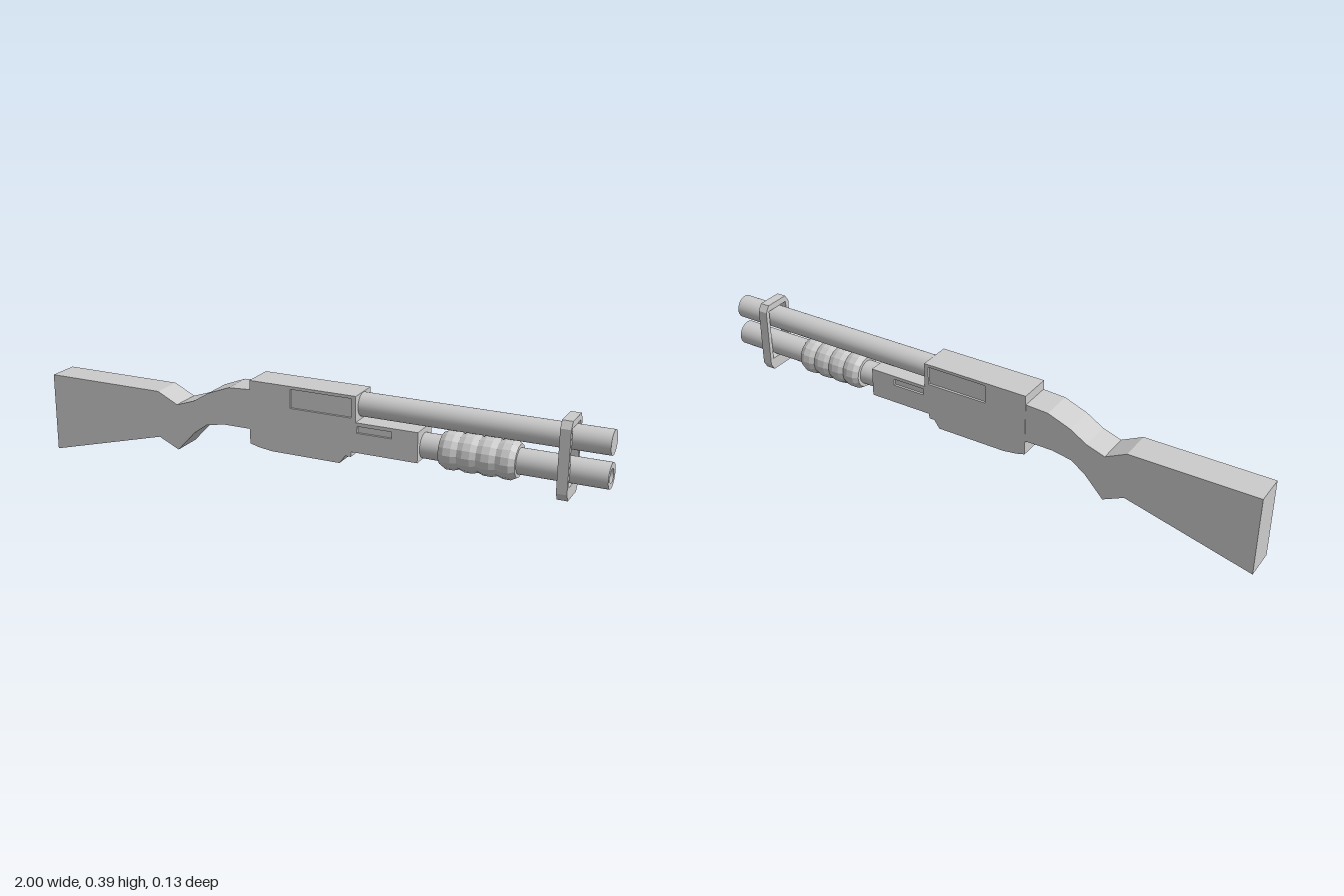
import * as THREE from 'three';

const grey = new THREE.MeshStandardMaterial({ color: 0xcccccc });
const greyFlat = new THREE.MeshStandardMaterial({ color: 0xcccccc, flatShading: true });
const greyDouble = new THREE.MeshStandardMaterial({ color: 0xcccccc, side: THREE.DoubleSide });

const TUBE_Y = 0.222, BARREL_Y = 0.328;
const toShape = (pts) => new THREE.Shape(pts.map(([x, y]) => new THREE.Vector2(x, y)));
const rect = (x0, y0, x1, y1) => new THREE.Path([[x0, y0], [x0, y1], [x1, y1], [x1, y0]].map(([x, y]) => new THREE.Vector2(x, y)));

export function createModel() {
  const model = new THREE.Group();

  function add(name, geometry, material = grey, parent = model) {
    const mesh = new THREE.Mesh(geometry, material);
    mesh.name = name;
    parent.add(mesh);
    return mesh;
  }
  // Extrude a side profile from z0 to z1
  const slab = (shape, z0, z1) =>
    new THREE.ExtrudeGeometry(shape, { depth: z1 - z0, bevelEnabled: false }).translate(0, 0, z0);
  // Cylinder lying along x
  const rod = (r, x0, x1, y, open = false) =>
    new THREE.CylinderGeometry(r, r, x1 - x0, 32, 1, open).rotateZ(-Math.PI / 2).translate((x0 + x1) / 2, y, 0);

  // Shoulder stock with curved grip
  add('stock', slab(toShape([
    [-1, 0], [-0.56, 0.115], [-0.485, 0.08], [-0.42, 0.15], [-0.37, 0.187], [-0.3, 0.2], [-0.19, 0.2],
    [-0.19, 0.338], [-0.28, 0.333], [-0.36, 0.302], [-0.42, 0.265], [-0.485, 0.243], [-0.56, 0.28], [-1, 0.28],
  ]), -0.056, 0.056), greyFlat);

  // Receiver: a core plus two side plates whose openings form the recesses
  const receiver = new THREE.Group();
  receiver.name = 'receiver';
  model.add(receiver);
  const outline = [
    [-0.2, 0.15], [-0.17, 0.142], [-0.12, 0.135], [0.13, 0.135], [0.15, 0.163], [0.17, 0.163], [0.17, 0.18],
    [0.4, 0.18], [0.4, 0.282], [0.185, 0.282], [0.185, 0.37], [-0.2, 0.37],
  ];
  add('receiverCore', slab(toShape(outline), -0.05, 0.05), greyFlat, receiver);
  const plate = toShape(outline);
  plate.holes.push(rect(-0.05, 0.295, 0.17, 0.36), rect(0.19, 0.247, 0.31, 0.27));
  add('leftSidePlate', slab(plate, 0.05, 0.058), greyFlat, receiver);
  add('rightSidePlate', slab(plate, -0.058, -0.05), greyFlat, receiver);

  // Barrel
  add('barrel', rod(0.04, 0.17, 1, BARREL_Y));

  // Magazine tube with recessed end
  const tube = new THREE.Group();
  tube.name = 'magazineTube';
  model.add(tube);
  const facing = (g, x) => g.rotateY(Math.PI / 2).translate(x, TUBE_Y, 0);
  add('tubeWall', rod(0.042, 0.39, 1, TUBE_Y, true), grey, tube);
  add('tubeRim', facing(new THREE.RingGeometry(0.023, 0.042, 32), 1), grey, tube);
  add('tubeRecess', rod(0.023, 0.98, 1, TUBE_Y, true), greyDouble, tube);
  add('tubeRecessFloor', facing(new THREE.CircleGeometry(0.023, 32), 0.98), grey, tube);

  // Ribbed sliding fore-end
  const profile = [new THREE.Vector2(0.042, 0.465), new THREE.Vector2(0.054, 0.465)];
  const ribs = 4, pitch = 0.25 / ribs;
  for (let i = 0; i < ribs; i++) {
    const x = 0.465 + i * pitch;
    profile.push(new THREE.Vector2(0.064, x + pitch * 0.3), new THREE.Vector2(0.064, x + pitch * 0.7));
    profile.push(new THREE.Vector2(i < ribs - 1 ? 0.058 : 0.054, x + pitch));
  }
  profile.push(new THREE.Vector2(0.042, 0.715));
  add('foreEnd', new THREE.LatheGeometry(profile, 16).rotateZ(-Math.PI / 2).translate(0, TUBE_Y, 0), greyFlat);

  // Chamfered band holding barrel and tube together
  const band = toShape([
    [-0.045, 0.135], [0.045, 0.135], [0.06, 0.16], [0.06, 0.367],
    [0.045, 0.39], [-0.045, 0.39], [-0.06, 0.367], [-0.06, 0.16],
  ]);
  band.holes.push(rect(-0.045, 0.178, 0.045, 0.368));
  add('barrelBand', new THREE.ExtrudeGeometry(band, { depth: 0.034, bevelEnabled: false })
    .rotateY(Math.PI / 2).translate(0.85, 0, 0), greyFlat);

  return model;
}
